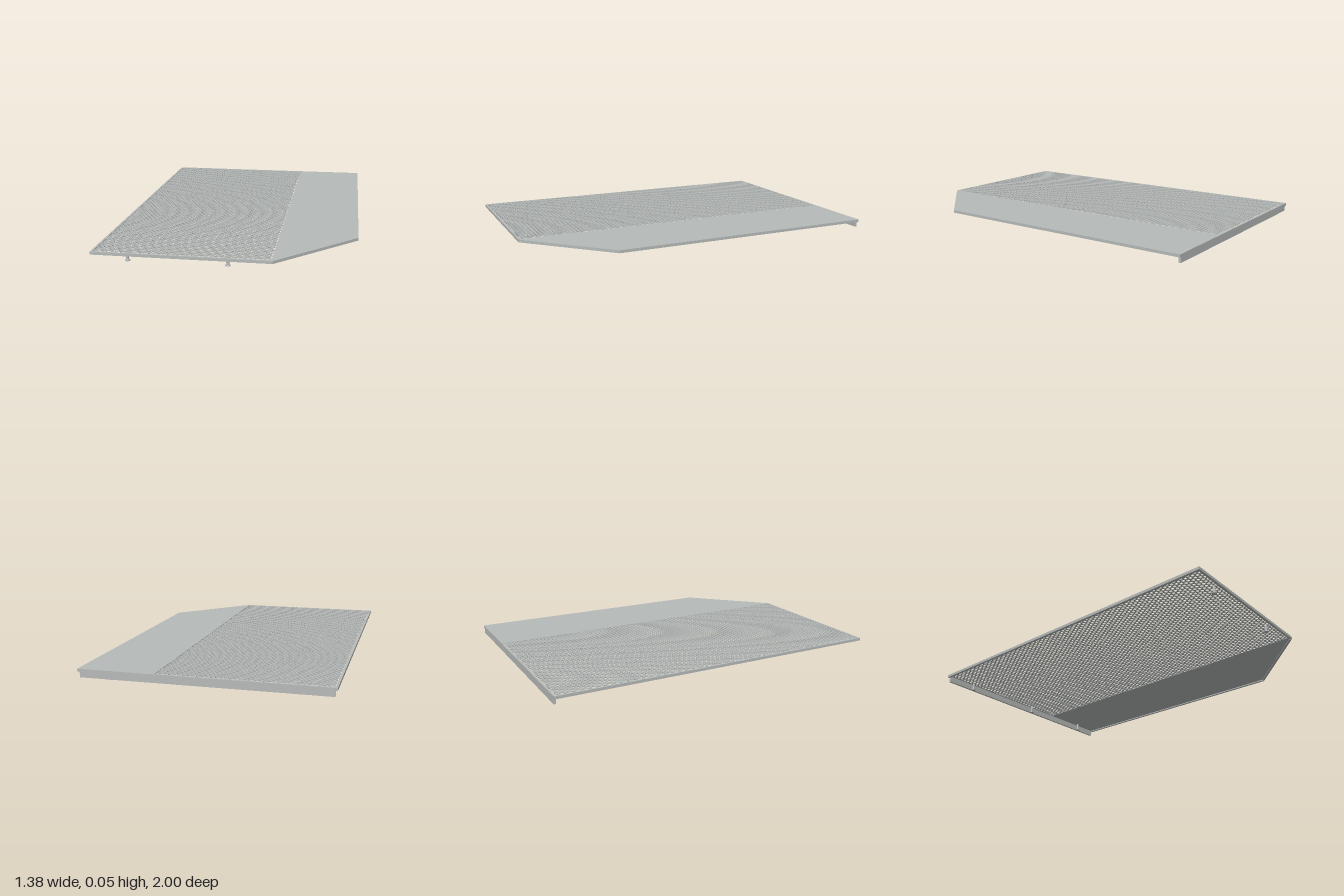
import * as THREE from 'three';

const steel = new THREE.MeshStandardMaterial({ color: 0xb6bab8 });
steel.name = 'galvanised grey';

const TOP = 0.053, SHEET = 0.005, RIM_BOTTOM = 0.037;
const LEFT = -0.69, SEAM = 0.265, RIGHT = 0.69, CHAMFER_Z = 0.57;

function add(group, name, geometry, x = 0, y = 0, z = 0) {
  const mesh = new THREE.Mesh(geometry, steel);
  mesh.name = name;
  mesh.position.set(x, y, z);
  group.add(mesh);
  return mesh;
}

// box given by its lower and upper limits
function addBox(group, name, x0, x1, y0, y1, z0, z1) {
  return add(group, name, new THREE.BoxGeometry(x1 - x0, y1 - y0, z1 - z0),
    (x0 + x1) / 2, (y0 + y1) / 2, (z0 + z1) / 2);
}

// flat plate from an [x, z] outline, spanning y0 to y1
function plate(outline, y0, y1) {
  const shape = new THREE.Shape(outline.map(([x, z]) => new THREE.Vector2(x, -z)));
  const geo = new THREE.ExtrudeGeometry(shape, { depth: y1 - y0, bevelEnabled: false });
  return geo.rotateX(-Math.PI / 2).translate(0, y0, 0);
}

// staggered honeycomb of cells, each a hexagonal ring around a punched hole
function perforatedSheet(x0, x1, z0, z1) {
  const pitch = 0.025, outer = pitch / Math.sqrt(3), inner = outer * 0.69;
  const rowStep = pitch * Math.sqrt(3) / 2;
  const yt = TOP, yb = TOP - SHEET;
  const pos = [];
  const quad = (a, b, c, d) => pos.push(...a, ...b, ...c, ...a, ...c, ...d);
  const rows = Math.floor((z1 - z0 - 2 * outer) / rowStep) + 1;
  const zStart = (z0 + z1 - (rows - 1) * rowStep) / 2;
  for (let r = 0; r < rows; r++) {
    const cz = zStart + r * rowStep;
    for (let cx = x0 + pitch / 2 * (1 + r % 2); cx + pitch / 2 <= x1 + 1e-6; cx += pitch) {
      const at = (radius, k, y) => {
        const a = Math.PI / 6 + k * Math.PI / 3;
        return [cx + radius * Math.cos(a), y, cz + radius * Math.sin(a)];
      };
      for (let k = 0; k < 6; k++) {
        const it = at(inner, k, yt), jt = at(inner, k + 1, yt);
        const ib = at(inner, k, yb), jb = at(inner, k + 1, yb);
        quad(it, jt, at(outer, k + 1, yt), at(outer, k, yt));
        quad(at(outer, k, yb), at(outer, k + 1, yb), jb, ib);
        quad(ib, jb, jt, it);
      }
    }
  }
  const geo = new THREE.BufferGeometry();
  geo.setAttribute('position', new THREE.Float32BufferAttribute(pos, 3));
  geo.computeVertexNormals();
  return geo;
}

export function createModel() {
  const model = new THREE.Group();
  model.name = 'perforatedDeckPlate';

  // punched tread with its solid margins
  const tread = new THREE.Group();
  tread.name = 'tread';
  model.add(tread);
  add(tread, 'perforatedSheet', perforatedSheet(LEFT + 0.004, SEAM + 0.004, -0.995, 0.995));
  const yb = TOP - SHEET, m = 0.012;
  addBox(tread, 'leftMargin', LEFT, LEFT + m, yb, TOP, -1, 1);
  addBox(tread, 'seamMargin', SEAM - 0.008, SEAM, yb, TOP, -1, 1);
  addBox(tread, 'backMargin', LEFT, SEAM, yb, TOP, -1, -1 + m);
  addBox(tread, 'frontMargin', LEFT, SEAM, yb, TOP, 1 - m, 1);

  // solid side panel with the cut corner
  add(model, 'solidPanel', plate(
    [[SEAM, 1], [RIGHT, CHAMFER_Z], [RIGHT, -1], [SEAM, -1]], yb, TOP));

  // folded rim and its inward lip along every outer edge
  const corners = [[LEFT, 1], [SEAM, 1], [RIGHT, CHAMFER_Z], [RIGHT, -1], [LEFT, -1]];
  corners.forEach(([ax, az], i) => {
    const [bx, bz] = corners[(i + 1) % corners.length];
    const length = Math.hypot(bx - ax, bz - az);
    const dx = (bx - ax) / length, dz = (bz - az) / length;
    // strip of the given width, mitred only by overlap at the corners
    const strip = (w, trim) => [
      [ax, az], [bx, bz],
      [bx + dz * w - dx * trim, bz - dx * w - dz * trim],
      [ax + dz * w + dx * trim, az - dx * w + dz * trim],
    ];
    add(model, 'rim', plate(strip(0.005, 0.005), RIM_BOTTOM, TOP - 0.001));
    add(model, 'rimLip', plate(strip(0.014, 0.014), RIM_BOTTOM, RIM_BOTTOM + 0.004));
  });

  // hanging flange under the back edge
  addBox(model, 'backFlange', -0.677, 0.677, 0.006, RIM_BOTTOM, -0.998, -0.985);

  // small bolts with a flared foot
  const profile = [[0, 0], [0.014, 0], [0.014, 0.005], [0.008, 0.008], [0.008, 0.047], [0, 0.047]]
    .map(([x, y]) => new THREE.Vector2(x, y));
  const boltGeometry = new THREE.LatheGeometry(profile, 12).toNonIndexed();
  boltGeometry.computeVertexNormals();
  for (const [x, z] of [[-0.5, 0.96], [0.03, 0.96], [-0.5, -0.97], [0.03, -0.97], [0.51, -0.97]]) {
    add(model, 'bolt', boltGeometry, x, 0, z);
  }
  return model;
}
